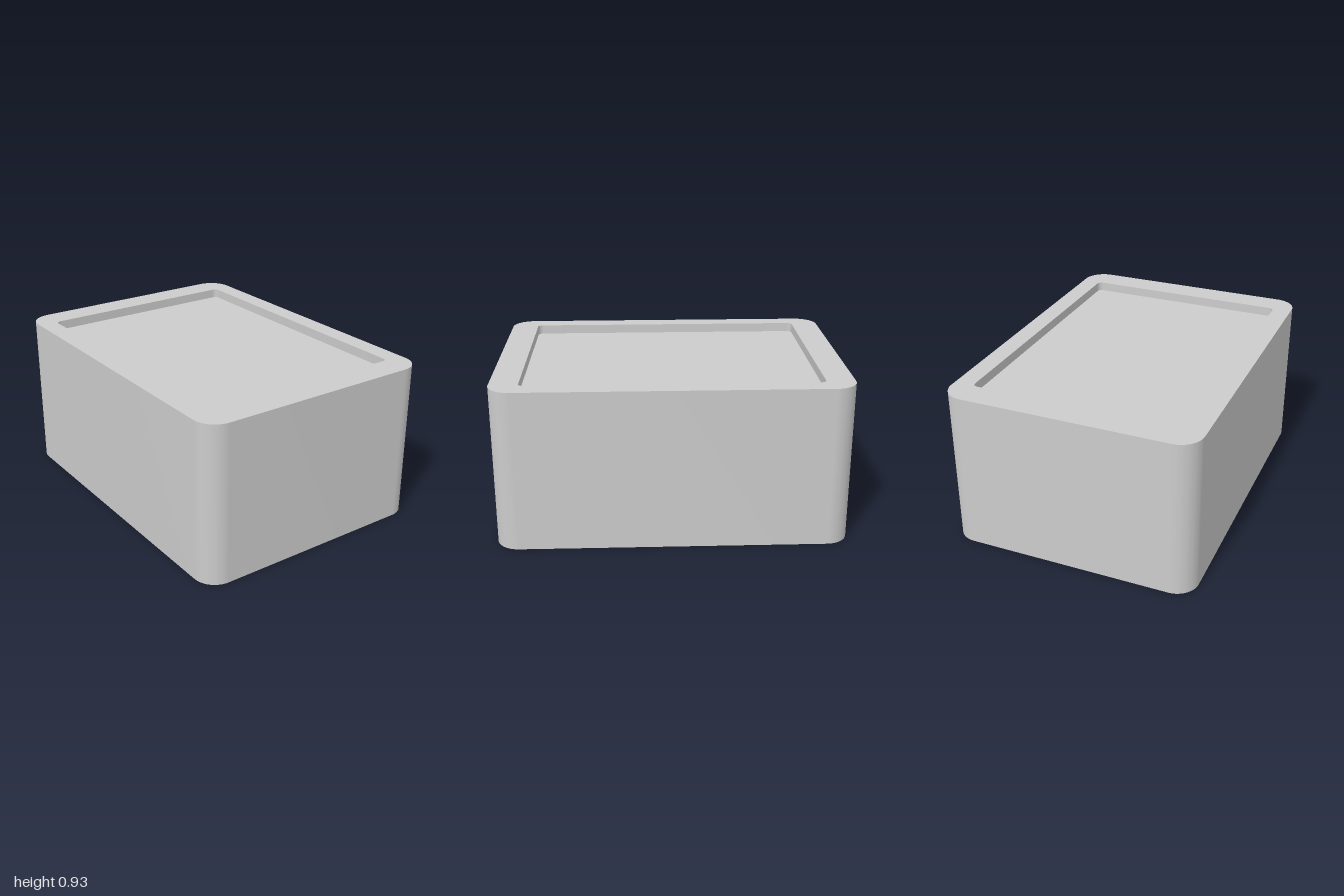
import * as THREE from 'three';
import { toCreasedNormals } from 'three/addons/utils/BufferGeometryUtils.js';

const material = new THREE.MeshStandardMaterial({ color: 0xcccccc });

// Rounded rectangle centred on the origin
function roundedRect(path, width, length, r) {
  const x = width / 2, y = length / 2;
  path.moveTo(x, -y + r);
  path.lineTo(x, y - r);
  path.absarc(x - r, y - r, r, 0, Math.PI / 2);
  path.lineTo(-x + r, y);
  path.absarc(-x + r, y - r, r, Math.PI / 2, Math.PI);
  path.lineTo(-x, -y + r);
  path.absarc(-x + r, -y + r, r, Math.PI, Math.PI * 1.5);
  path.lineTo(x - r, -y);
  path.absarc(x - r, -y + r, r, Math.PI * 1.5, Math.PI * 2);
  return path;
}

// Upright extrusion of a shape between two heights
function slab(name, shape, bottom, top) {
  const extruded = new THREE.ExtrudeGeometry(shape, {
    depth: top - bottom, bevelEnabled: false, curveSegments: 12,
  });
  extruded.rotateX(-Math.PI / 2).translate(0, bottom, 0);
  const mesh = new THREE.Mesh(toCreasedNormals(extruded, Math.PI / 6), material);
  mesh.name = name;
  return mesh;
}

export function createModel() {
  const model = new THREE.Group();
  model.name = 'openBox';

  const height = 0.93, innerWidth = 1.235, innerLength = 1.675, innerRadius = 0.03;

  // Thick rounded wall, open at both ends
  const wallShape = roundedRect(new THREE.Shape(), 1.46, 2, 0.13);
  wallShape.holes.push(roundedRect(new THREE.Path(), innerWidth, innerLength, innerRadius));
  model.add(slab('wall', wallShape, 0, height));

  // Thin panel recessed just below the upper rim
  const panelShape = roundedRect(new THREE.Shape(), innerWidth, innerLength, innerRadius);
  model.add(slab('recessedPanel', panelShape, 0.865, 0.875));

  return model;
}
